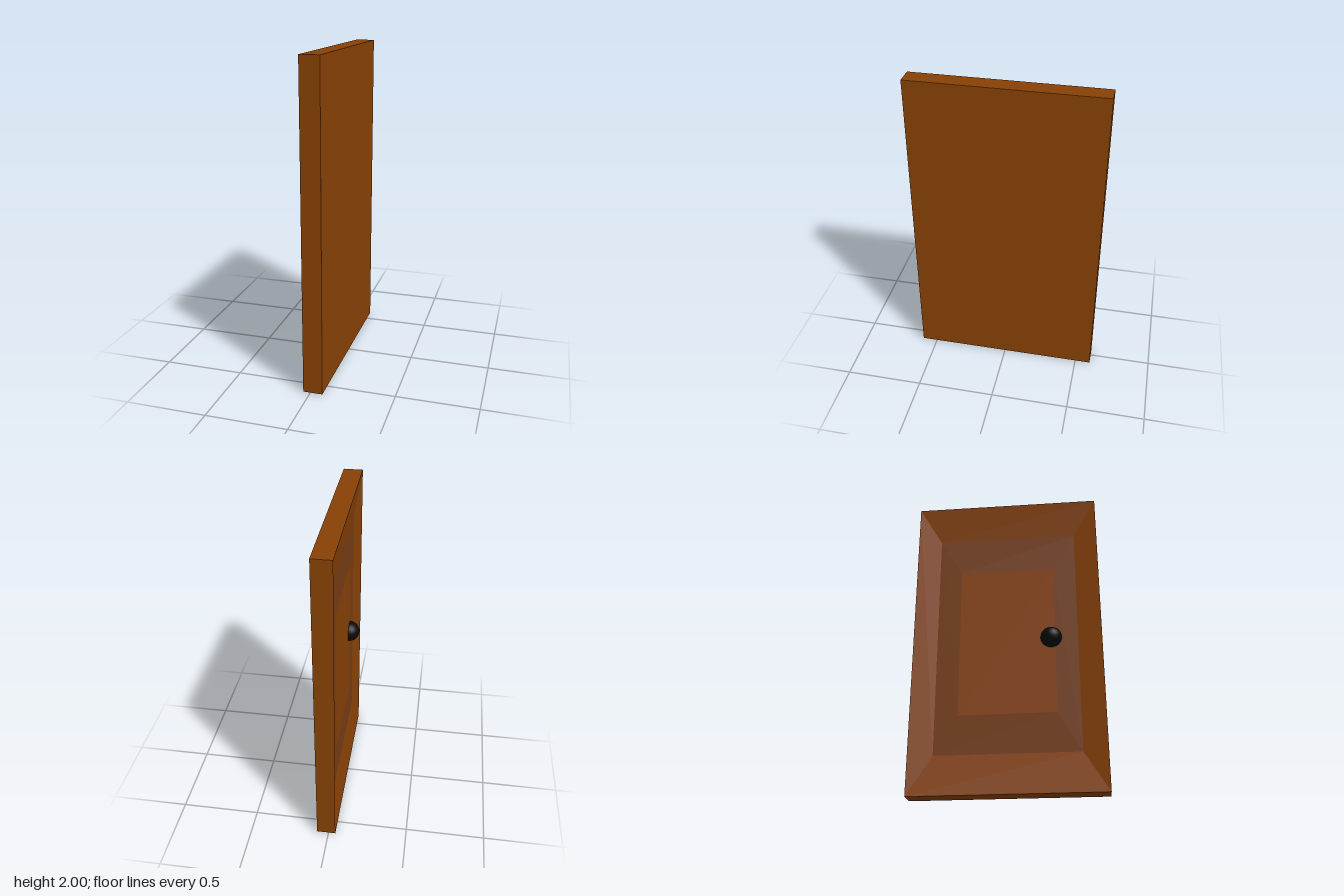
import * as THREE from 'three';

const WOOD = 0x874105;
const DARK_WOOD = 0x763d16;
const BLACK = 0x0a0a0a;

// Rectangular cross-sections of the door: x position, width along z, height along y
const BACK = { x: 0.075, w: 1.2, h: 2 };
const RIM = { x: -0.045, w: 1.2, h: 2 };
const BORDER = { x: -0.01, w: 0.9, h: 1.5 };
const PANEL = { x: -0.01, w: 0.61, h: 1.0 };

function add(group, name, geometry, color) {
  const mesh = new THREE.Mesh(geometry, new THREE.MeshStandardMaterial({ color }));
  mesh.name = name;
  group.add(mesh);
  return mesh;
}

// Corners anticlockwise as seen from -x
function corners({ x, w, h }) {
  return [[-1, -1], [1, -1], [1, 1], [-1, 1]].map(([z, y]) => [x, 1 + y * h / 2, z * w / 2]);
}

// Four flat faces joining each cross-section to the next
function bands(...sections) {
  const positions = [];
  for (let s = 0; s < sections.length - 1; s++) {
    const outer = corners(sections[s]);
    const inner = corners(sections[s + 1]);
    for (let i = 0; i < 4; i++) {
      const j = (i + 1) % 4;
      positions.push(...outer[i], ...outer[j], ...inner[j], ...outer[i], ...inner[j], ...inner[i]);
    }
  }
  const geometry = new THREE.BufferGeometry();
  geometry.setAttribute('position', new THREE.Float32BufferAttribute(positions, 3));
  geometry.computeVertexNormals();
  return geometry;
}

// Flat rectangle facing +x (side = 1) or -x (side = -1)
function sheet({ x, w, h }, side) {
  return new THREE.PlaneGeometry(w, h).rotateY(side * Math.PI / 2).translate(x, 1, 0);
}

export function createModel() {
  const door = new THREE.Group();
  door.name = 'door';

  // Plain side, edges and the frame sloping in to the sunken panel
  add(door, 'plainSide', sheet(BACK, 1), WOOD);
  add(door, 'edgesAndSlopingFrame', bands(BACK, RIM, BORDER), WOOD);

  // Dark border and centre panel at the bottom of the recess
  add(door, 'panelBorder', bands(BORDER, PANEL), DARK_WOOD);
  add(door, 'centrePanel', sheet(PANEL, -1), WOOD);

  // Round knob, half sunk into the panel
  const knob = add(door, 'knob', new THREE.SphereGeometry(0.067, 32, 20), BLACK);
  knob.position.set(-0.01, 1, 0.28);

  return door;
}
